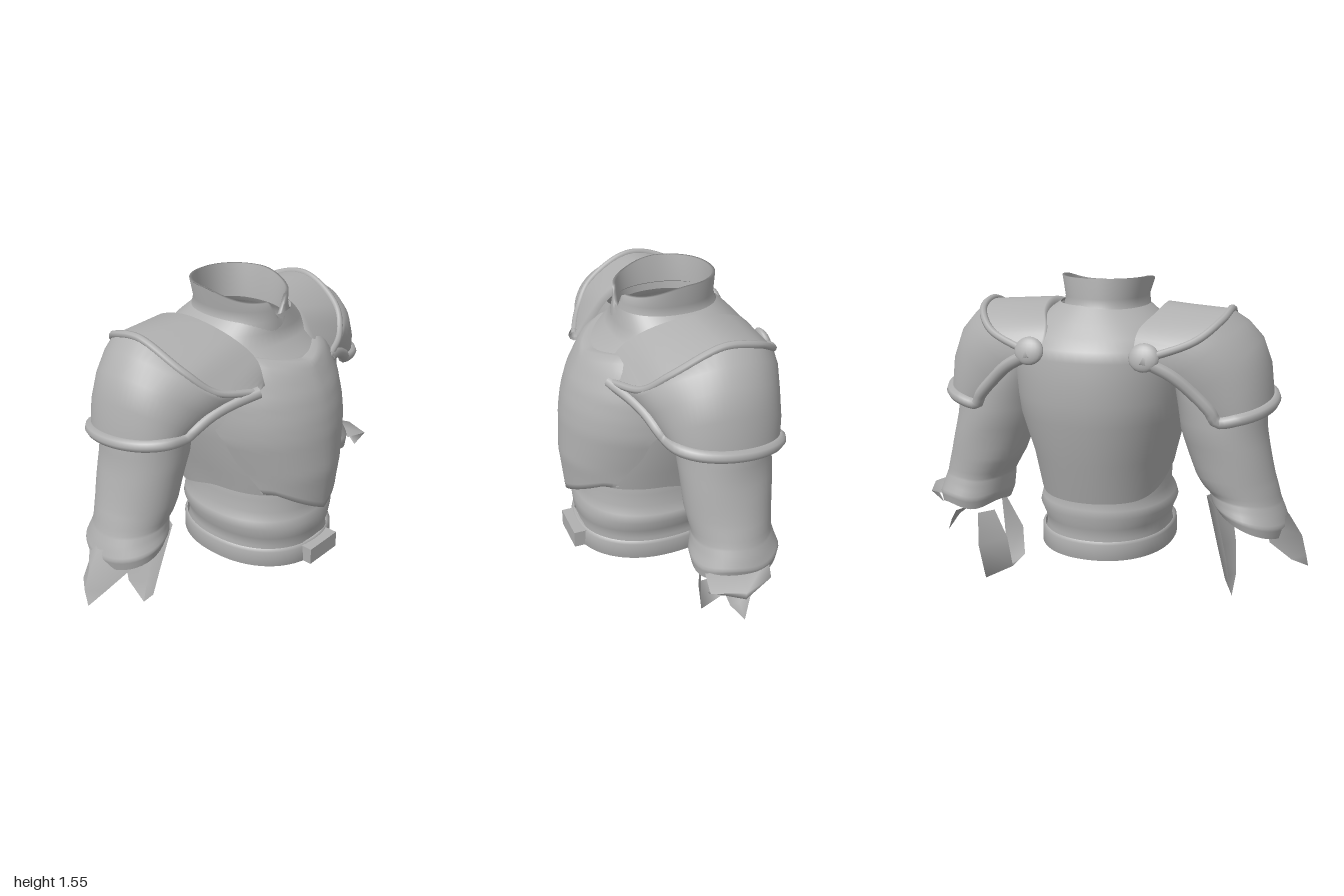
import * as THREE from 'three';

const steel = new THREE.MeshStandardMaterial({ color: 0xb0b0b0, side: THREE.DoubleSide });
steel.name = 'steel grey';
const CX = 0.04; // torso centre line

// Skin a grid of [x, y, z] rows; closed rows join end to start
function loft(name, rows, closed = false) {
  const n = rows[0].length, idx = [];
  for (let i = 0; i < rows.length - 1; i++) {
    for (let j = 0; j < (closed ? n : n - 1); j++) {
      const a = i * n + j, b = i * n + (j + 1) % n;
      idx.push(a, b, a + n, b, b + n, a + n);
    }
  }
  const g = new THREE.BufferGeometry();
  g.setAttribute('position', new THREE.Float32BufferAttribute(rows.flat(2), 3));
  g.setIndex(idx);
  g.computeVertexNormals();
  const m = new THREE.Mesh(g, steel);
  m.name = name;
  return m;
}

const spline = points => new THREE.CatmullRomCurve3(points.map(p => new THREE.Vector3(...p)));

function tube(name, points, radius) {
  const m = new THREE.Mesh(new THREE.TubeGeometry(spline(points), 70, radius, 8), steel);
  m.name = name;
  return m;
}

// Linear interpolation in a table whose first column is the key
function sample(table, k) {
  let i = 0;
  while (i < table.length - 2 && k > table[i + 1][0]) i++;
  const a = table[i], b = table[i + 1];
  const t = THREE.MathUtils.clamp((k - a[0]) / (b[0] - a[0]), 0, 1);
  return a.map((v, c) => v + (b[c] - v) * t);
}

const range = (n, f) => Array.from({ length: n }, (_, i) => f(i));
const pw = (v, e) => Math.sign(v) * Math.abs(v) ** e;

// Horizontal torso section: y, half width, front z, back z (angle 0 = front)
function ring([y, hw, zf, zb], n = 64, cx = CX) {
  const zc = (zf + zb) / 2, rz = (zf - zb) / 2;
  return range(n, j => {
    const a = j / n * Math.PI * 2;
    return [cx + hw * pw(Math.sin(a), 0.92), y, zc + rz * pw(Math.cos(a), 0.92)];
  });
}

const chest = [
  [0.50, 0.325, 0.43, -0.375], [0.70, 0.35, 0.45, -0.43], [0.90, 0.405, 0.437, -0.475],
  [1.00, 0.415, 0.42, -0.485], [1.10, 0.42, 0.39, -0.487], [1.20, 0.42, 0.34, -0.48],
  [1.25, 0.405, 0.305, -0.47], [1.30, 0.37, 0.222, -0.42], [1.36, 0.30, 0.205, -0.365],
  [1.43, 0.2, 0.19, -0.29],
];
const waist = [
  [0.24, 0.325, 0.42, -0.33], [0.30, 0.312, 0.41, -0.32], [0.35, 0.32, 0.43, -0.33],
  [0.41, 0.345, 0.435, -0.345], [0.45, 0.335, 0.42, -0.34], [0.49, 0.31, 0.405, -0.33],
  [0.56, 0.315, 0.405, -0.335], [0.64, 0.30, 0.39, -0.33],
];

// Chest shell; its hem is low at the back and higher at the front
function chestShell() {
  const rows = chest.map(r => ring(r));
  rows[0] = rows[0].map(([x, y, z]) => [x, y + 0.1 * THREE.MathUtils.smoothstep(z, -0.3, 0.1), z]);
  return loft('chest', rows, true);
}

// Breastplate: a ridged skin over the chest with a pointed lower edge
function breastplate() {
  const edge = [[0.49, 0.25], [0.62, 0.26], [0.80, 0.345], [0.95, 0.395], [1.10, 0.36],
    [1.18, 0.29], [1.30, 0.23]];
  const point = (u, t, lift) => {
    const k = Math.abs(u);
    const y = THREE.MathUtils.lerp(0.49 + 0.13 * Math.min(1, k * 1.2), 1.24 + 0.05 * k, t);
    const [, hw, zf, zb] = sample(chest, y), w = Math.min(sample(edge, y)[1], hw * 0.985);
    const s = Math.sin(u * Math.asin(w / hw)), c = Math.sqrt(1 - s * s);
    const zc = (zf + zb) / 2, rz = (zf - zb) / 2;
    return [CX + hw * pw(s, 0.92) * (1 + lift * 0.4), y,
      zc + rz * pw(c, 0.92) + lift * (0.6 + 1.5 * (1 - k))];
  };
  const us = range(33, j => j / 16 - 1);
  const rows = range(25, i => us.map(u => point(u, i / 24, 0.023)));
  return loft('breastplate', [us.map(u => point(u, 0, -0.02)), ...rows, us.map(u => point(u, 1, -0.01))]);
}

// Standing collar with a notch at the throat
function collar() {
  const profile = [[1.345, 0.24, 0.205, -0.34], [1.41, 0.2, 0.197, -0.30], [1.46, 0.195, 0.188, -0.285]];
  const rim = shrink => ring([0, 0.215 - shrink, 0.185 - shrink, -0.29 + shrink], 96, 0.015)
    .map(([x, , z]) => {
      const front = THREE.MathUtils.smoothstep(z, -0.1, 0.19);
      const notch = z > 0 ? Math.max(0, 1 - Math.abs(x - 0.02) / 0.06) : 0;
      return [x, 1.555 - 0.055 * front - 0.1 * notch, z];
    });
  const rows = profile.map(p => ring(p, 96, 0.02));
  // keep the wall below the notch
  rows[2] = rows[2].map(([x, y, z], j) => [x, Math.min(y, rim(0)[j][1] - 0.01), z]);
  return loft('collar', [...rows, rim(0), rim(0.014), ring([1.39, 0.18, 0.17, -0.275], 96, 0.015)], true);
}

// Shoulder strap edges, front to back: beside the neck, and along the ridge
const neckEdge = [[0.22, 1.19, 0.31], [0.205, 1.29, 0.25], [0.245, 1.38, 0.14], [0.285, 1.44, -0.08],
  [0.27, 1.41, -0.25], [0.22, 1.34, -0.38], [0.22, 1.23, -0.46]];
const ridge = [[0.26, 1.17, 0.31], [0.455, 1.21, 0.225], [0.55, 1.31, 0.13], [0.59, 1.42, -0.09],
  [0.575, 1.39, -0.27], [0.48, 1.31, -0.39], [0.26, 1.23, -0.465]];
// Dome sections outwards: x at top, x at ends, y top, front y, front z, back y, back z
const dome = [
  [0.665, 0.39, 1.365, 1.135, 0.25, 1.16, -0.43],
  [0.735, 0.48, 1.29, 1.10, 0.215, 1.08, -0.40],
  [0.78, 0.555, 1.17, 1.055, 0.19, 1.0, -0.38],
  [0.80, 0.585, 1.0, 1.025, 0.17, 0.95, -0.365],
];
const N = 32;
const sweep = (s, pts) => spline(pts).getPoints(N).map(p => [s * p.x, p.y, p.z]);
function arch(s, [xt, xe, yt, yf, zf, yb, zb]) {
  return range(N + 1, j => {
    const a = j / N * Math.PI, k = Math.sin(a), e = yf + (yb - yf) * j / N;
    return [s * (xe + (xt - xe) * k ** 0.85), e + (yt - (yf + yb) / 2) * k,
      (zf + zb) / 2 + (zf - zb) / 2 * Math.cos(a)];
  });
}

function shoulderArmour(s) {
  const g = new THREE.Group();
  g.name = s > 0 ? 'leftShoulder' : 'rightShoulder';
  const inner = sweep(s, neckEdge), crest = sweep(s, ridge);
  const tucked = inner.map(([x, y, z]) => [x - s * 0.01, y - 0.035, z * 0.93]);
  const outer = [crest, ...dome.map(p => arch(s, p))];
  g.add(loft('shoulderPlate', [tucked, inner, crest]), loft('shoulderDome', outer));
  g.add(tube('shoulderRidge', crest, 0.018));
  const last = outer[outer.length - 1], upper = outer.slice(0, -1);
  const rim = [...upper.map(r => r[0]), ...last.filter((_, i) => i % 4 === 0),
    ...upper.map(r => r[N]).reverse()];
  g.add(tube('shoulderRim', rim, 0.029));
  // rounded strap end at the back
  const tab = new THREE.Mesh(new THREE.SphereGeometry(1, 20, 12), steel);
  tab.name = 'strapEnd';
  tab.scale.set(0.07, 0.065, 0.028);
  tab.position.set(s * 0.27, 1.24, -0.455);
  tab.rotation.x = 0.3;
  g.add(tab);
  return g;
}

// Sleeve: y, centre x, radius x, radius z
const sleeveRows = [
  [1.22, 0.48, 0.18, 0.18], [1.05, 0.55, 0.21, 0.22], [0.86, 0.575, 0.205, 0.22],
  [0.65, 0.637, 0.188, 0.205], [0.54, 0.685, 0.172, 0.19], [0.49, 0.70, 0.18, 0.20],
  [0.44, 0.715, 0.185, 0.215], [0.39, 0.72, 0.168, 0.205],
];
function sleeve(s) {
  const rows = range(29, i => {
    const [, y, cx, rx, rz] = sample(sleeveRows.map((r, k) => [k, ...r]), i / 4);
    return range(40, j => {
      const a = j / 40 * Math.PI * 2, c = Math.cos(a), d = Math.sin(a);
      const fold = 1 + 0.012 * Math.sin(3 * a + y * 14);
      const tear = Math.max(0, (0.6 - y) / 0.2); // ragged, slanting cuff
      const dy = tear * (s < 0 ? 0.035 - 0.06 * c : 0.012 * Math.sin(4 * a));
      return [s * (cx + rx * c * fold), y + dy, -0.12 + rz * d * fold];
    });
  });
  return loft(s > 0 ? 'leftSleeve' : 'rightSleeve', rows, true);
}

// Torn cloth: rows from top to tip of x, y, z, half width in z, and bulge of the middle in x
function tornCloth(s, rows) {
  return loft('tornCloth', rows.map(([x, y, z, w, bulge]) =>
    [-1, 0, 1].map(k => [s * (x + (k ? 0 : bulge)), y, z - k * w])));
}
const outerTatter = [[0.81, 0.46, -0.12, 0.16, 0.09], [0.83, 0.36, -0.12, 0.13, 0.135],
  [0.93, 0.27, -0.13, 0.08, 0.06], [1, 0.2, -0.1, 0, 0]];
const innerTatter = [[0.58, 0.51, -0.12, 0.17, -0.08], [0.63, 0.25, -0.13, 0.13, -0.065],
  [0.645, 0.09, -0.13, 0.09, -0.04], [0.64, 0, -0.12, 0, 0]];
const cuffFlap = [[0.82, 0.42, -0.09, 0.16, 0.06], [0.945, 0.41, -0.05, 0.15, 0.055],
  [0.875, 0.355, -0.06, 0.14, 0.105]];
const cuffScrap = [[0.81, 0.315, -0.11, 0.09, -0.04], [0.87, 0.235, -0.09, 0.05, 0],
  [0.91, 0.16, -0.1, 0, 0]];

// Hanging loop of cloth: outer edge, and an inner edge drawn in from it
function clothLoop() {
  const edge = [[0.64, 0.37, 0], [0.63, 0.18, 0.01], [0.61, 0, -0.02], [0.56, 0, -0.15],
    [0.61, 0, -0.29], [0.62, 0.2, -0.34], [0.62, 0.37, -0.33]];
  const inset = edge.map(([x, y, z]) =>
    [Math.max(0.48, x - 0.06 - 0.4 * (0.37 - y)), y + 0.06 * (1 - y / 0.37), -0.16 + (z + 0.16) * 0.6]);
  return loft('clothLoop', [edge, inset]);
}

export function createModel() {
  const model = new THREE.Group();
  model.name = 'torsoArmour';
  model.add(chestShell(), breastplate(), collar());
  model.add(loft('waist', waist.map(r => ring(r)), true));
  // belt with a turned-in edge, and its buckle
  const belt = [[0.2, 0.32, 0.42, -0.33], [0.2, 0.34, 0.445, -0.35], [0.28, 0.338, 0.44, -0.348],
    [0.292, 0.325, 0.425, -0.335]];
  model.add(loft('belt', belt.map(r => ring(r)), true));
  const buckle = new THREE.Mesh(new THREE.BoxGeometry(0.21, 0.085, 0.07), steel);
  buckle.name = 'buckle';
  buckle.position.set(0.05, 0.243, 0.445);
  model.add(buckle);
  // sloping lining inside the body
  const slope = r => r.map(([x, , z]) => [x, 0.22 + 0.5 * (0.41 - z), z]);
  model.add(loft('lining', [slope(ring([0, 0.3, 0.4, -0.22])), slope(ring([0, 0.001, 0.1, 0.099]))], true));
  for (const s of [-1, 1]) model.add(shoulderArmour(s), sleeve(s));
  model.add(tornCloth(-1, outerTatter), tornCloth(-1, innerTatter));
  model.add(tornCloth(1, cuffFlap), tornCloth(1, cuffScrap), clothLoop());
  return model;
}
